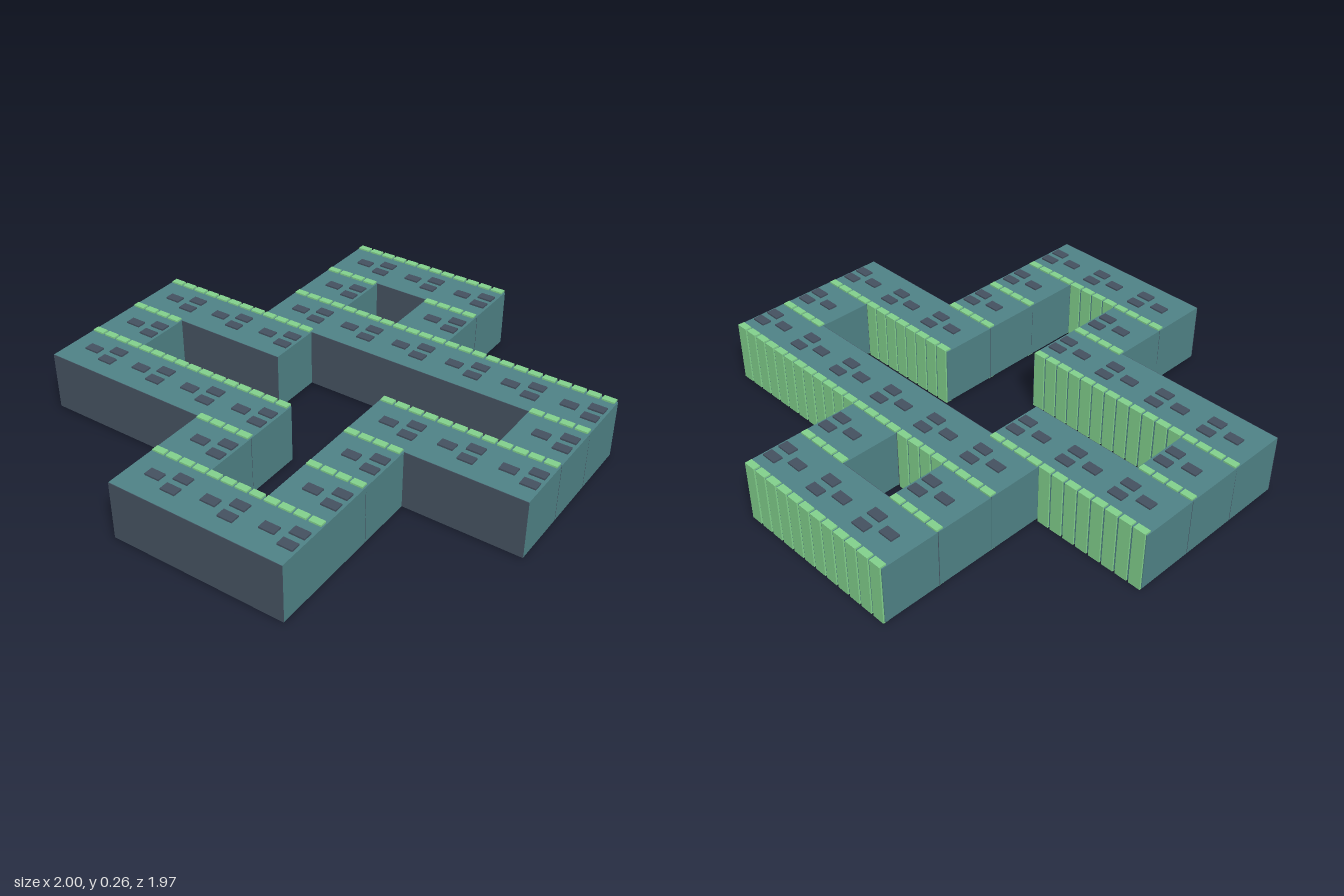
import * as THREE from 'three';

const CELL = 0.25;
const BASE = 0.006, TOP = 0.255, FULL = 0.262;

// z of each row's panel line, and its runs as [first column, cell count]
const ROWS = [
  { z: -0.97, runs: [[2, 3]] },
  { z: -0.72, runs: [[2, 1], [4, 1]] },
  { z: -0.47, runs: [[2, 6]] },
  { z: -0.236, runs: [[0, 3], [7, 1]] },
  { z: 0.013, runs: [[0, 1], [5, 3]] },
  { z: 0.26, runs: [[0, 4], [5, 1]] },
  { z: 0.498, runs: [[3, 1], [5, 1]] },
  { z: 0.745, runs: [[3, 3]] },
];

// Roof blocks inside one cell: [x from cell edge, z from panel line]
const ROOF_BLOCKS = [[0.107, 0.116], [0.206, 0.08], [0.206, 0.148]];

export function createModel() {
  const model = new THREE.Group();
  model.name = 'blockMaze';

  const teal = new THREE.MeshStandardMaterial({ color: 0x4f8286 });
  const slate = new THREE.MeshStandardMaterial({ color: 0x445160 });
  const green = new THREE.MeshStandardMaterial({ color: 0x82d08c });

  // Box given by its minimum and maximum corners
  function box(parent, name, material, [x0, y0, z0], [x1, y1, z1]) {
    const mesh = new THREE.Mesh(new THREE.BoxGeometry(x1 - x0, y1 - y0, z1 - z0), material);
    mesh.position.set((x0 + x1) / 2, (y0 + y1) / 2, (z0 + z1) / 2);
    mesh.name = name;
    parent.add(mesh);
  }

  for (const { z, runs } of ROWS) {
    for (const [column, count] of runs) {
      const section = new THREE.Group();
      section.name = 'wallSection';
      model.add(section);
      const left = -1 + column * CELL;
      const right = left + count * CELL;

      // Body with a thin dark front facing
      box(section, 'body', teal, [left, BASE, z - 0.009], [right, TOP, z + 0.238]);
      box(section, 'frontFacing', slate,
        [left, BASE, z + 0.237], [right, TOP - 0.0005, z + 0.24]);

      for (let i = 0; i < count; i++) {
        const x = left + i * CELL;

        // Upright green panels along the back, standing proud at top and bottom
        for (let k = 0; k < 4; k++) {
          const px = x + 0.004 + k * CELL / 4;
          box(section, 'backPanel', green, [px, 0, z - 0.015], [px + 0.052, FULL, z + 0.014]);
        }

        // Three low blocks on the roof
        for (const [dx, dz] of ROOF_BLOCKS) {
          box(section, 'roofBlock', slate,
            [x + dx - 0.032, TOP - 0.01, z + dz - 0.02],
            [x + dx + 0.032, FULL, z + dz + 0.02]);
        }
      }
    }
  }
  return model;
}
